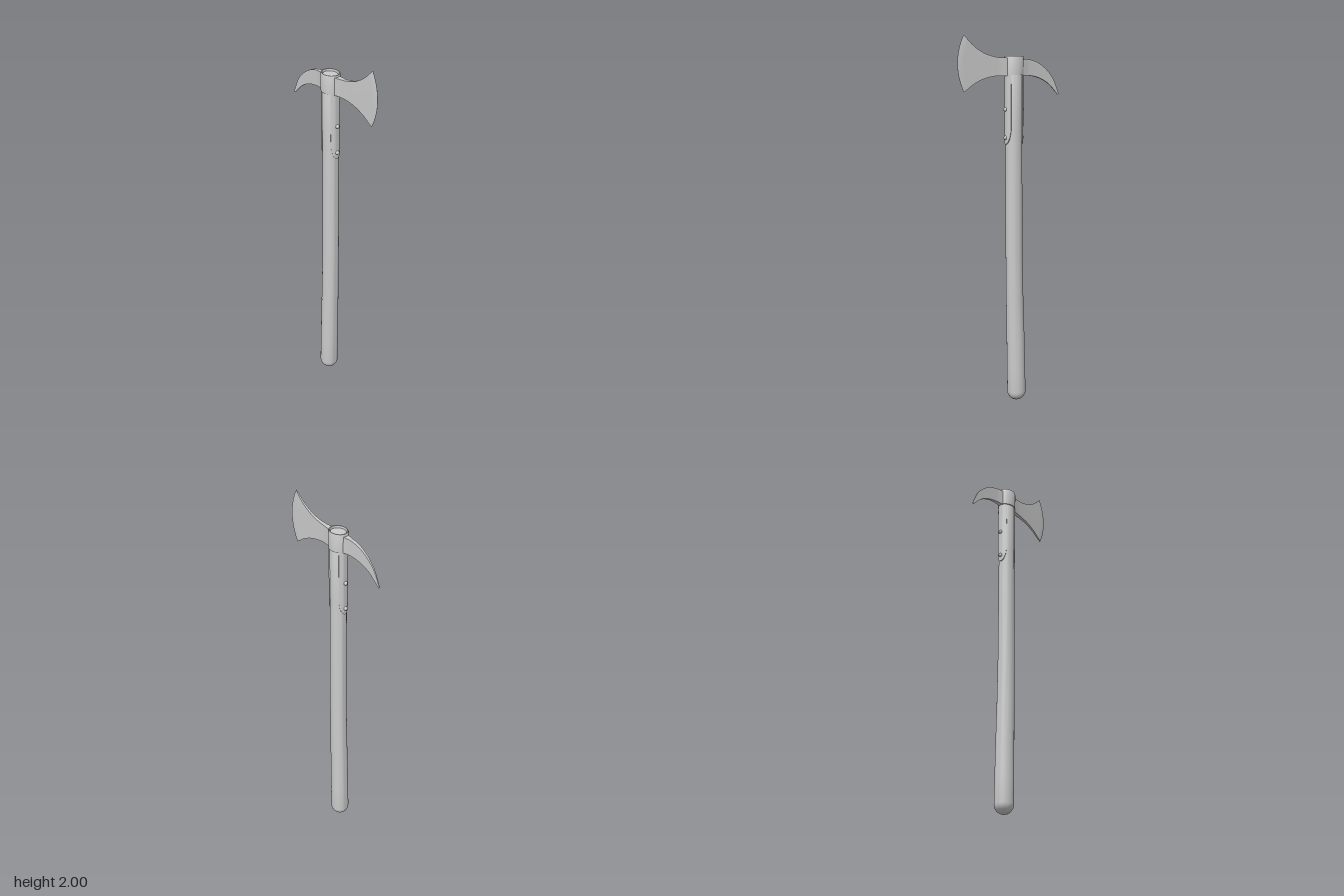
import * as THREE from 'three';
import { toCreasedNormals } from 'three/addons/utils/BufferGeometryUtils.js';

const material = new THREE.MeshStandardMaterial({ color: 0xcccccc });
const AXIS = -0.028; // x of the straight upper shaft

// Skin a list of equal-length rings (counter-clockwise seen from the far end).
function loft(name, rings, { caps = true, crease = 0.6 } = {}) {
  const n = rings[0].length;
  const pos = rings.flat().flatMap((p) => [p.x, p.y, p.z]);
  const idx = [];
  for (let i = 0; i < rings.length - 1; i++) {
    for (let j = 0; j < n; j++) {
      const a = i * n + j, b = i * n + (j + 1) % n;
      idx.push(a, b, b + n, a, b + n, a + n);
    }
  }
  if (caps) {
    // strip caps pair opposite points, so curved ends stay well covered
    const last = (rings.length - 1) * n;
    for (let j = 0; j < n / 2 - 1; j++) {
      const a = j, b = j + 1, c = n - 2 - j, d = n - 1 - j;
      idx.push(a, c, b, a, d, c);
      idx.push(last + a, last + b, last + c, last + a, last + c, last + d);
    }
  }
  const geo = new THREE.BufferGeometry();
  geo.setAttribute('position', new THREE.Float32BufferAttribute(pos, 3));
  geo.setIndex(idx);
  const mesh = new THREE.Mesh(toCreasedNormals(geo, crease), material);
  mesh.name = name;
  return mesh;
}

const ellipse = (cx, y, rx, rz, n = 32) => Array.from({ length: n }, (_, i) => {
  const a = (i / n) * Math.PI * 2;
  return new THREE.Vector3(cx + rx * Math.cos(a), y, -rz * Math.sin(a));
});

// Shaft: rounded butt, gentle bend in the lower half
function makeHandle() {
  const rings = [];
  for (let i = 0; i <= 7; i++) {
    const a = (i / 7) * Math.PI / 2;
    const r = Math.max(0.002, 0.051 * Math.sin(a));
    rings.push(ellipse(-0.046, 0.055 - 0.05 * Math.cos(a), r, r * 0.98));
  }
  const stations = [
    [0.2, -0.043, 0.0505, 0.049], [0.4, -0.039, 0.0495, 0.047], [0.6, -0.034, 0.048, 0.045],
    [0.85, -0.03, 0.047, 0.043], [1.2, -0.029, 0.046, 0.042], [1.5, AXIS, 0.046, 0.041],
    [1.875, AXIS, 0.046, 0.04], [1.885, AXIS, 0.042, 0.036],
  ];
  stations.forEach(([y, cx, rx, rz]) => rings.push(ellipse(cx, y, rx, rz)));
  return loft('handle', rings);
}

// Socket ring around the top of the shaft
function makeCollar() {
  const profile = [[1.795, 0.045, 0.039], [1.795, 0.054, 0.045], [1.889, 0.055, 0.046],
    [1.895, 0.053, 0.044], [1.895, 0.047, 0.041], [1.87, 0.045, 0.039]];
  return loft('collar', profile.map(([y, rx, rz]) => ellipse(AXIS, y, rx, rz)), { caps: false });
}

// Flat section between a lower and an upper point, bulging outwards in x
function plate(lo, hi, h, bulge = 0, n = 16) {
  const right = [], left = [];
  for (let i = 0; i <= n; i++) {
    const v = i / n;
    const x = lo.x + (hi.x - lo.x) * v + bulge * 4 * v * (1 - v);
    const y = lo.y + (hi.y - lo.y) * v;
    right.push(new THREE.Vector3(x, y, -h));
    left.unshift(new THREE.Vector3(x, y, h));
  }
  return [...right, ...left];
}

const curve = (points) => new THREE.CatmullRomCurve3(points.map(([x, y]) => new THREE.Vector3(x, y, 0)));

// Linear lookup in [position, value] pairs
function lookup(table, u) {
  const k = Math.max(1, table.findIndex(([t]) => t >= u));
  const [t0, v0] = table[k - 1], [t1, v1] = table[k];
  return THREE.MathUtils.lerp(v0, v1, (u - t0) / (t1 - t0));
}

// Sections between an upper and a lower outline, from root to end
function outlineRings(top, bottom, thickness, bulge) {
  const rings = [];
  for (let i = 0; i <= 25; i++) {
    const u = i / 25;
    rings.push(plate(bottom.getPoint(u), top.getPoint(u), lookup(thickness, u), bulge * u * u));
  }
  return rings;
}

// Flared cutting blade on +x
function makeBlade() {
  const top = curve([[0.018, 1.885], [0.09, 1.89], [0.16, 1.91], [0.22, 1.947], [0.275, 2.0]]);
  const bottom = curve([[0.018, 1.792], [0.09, 1.79], [0.16, 1.775], [0.22, 1.747], [0.275, 1.707]]);
  const thickness = [[0, 0.018], [0.16, 0.011], [0.32, 0.0085], [0.6, 0.006], [0.92, 0.004], [1, 0.0006]];
  return loft('blade', outlineRings(top, bottom, thickness, 0.037));
}

// Curved, drooping spike on -x
function makeSpike() {
  const top = curve([[-0.072, 1.882], [-0.14, 1.874], [-0.2, 1.849], [-0.27, 1.785], [-0.315, 1.695]]);
  const bottom = curve([[-0.072, 1.793], [-0.13, 1.792], [-0.185, 1.78], [-0.245, 1.75], [-0.309, 1.689]]);
  const thickness = [[0, 0.018], [0.16, 0.01], [0.32, 0.008], [0.6, 0.0055], [1, 0.0018]];
  return loft('spike', outlineRings(top, bottom, thickness, 0).reverse());
}

// Curved side strap with a rounded lower end, held by two rivets
function makeStrap(side) {
  const group = new THREE.Group();
  group.name = side > 0 ? 'leftStrap' : 'rightStrap';
  const base = side > 0 ? 0 : Math.PI;
  const n = 10;
  const rings = [[1.43, 0.12], [1.436, 0.32], [1.45, 0.52], [1.47, 0.68], [1.5, 0.78], [1.65, 0.8], [1.8, 0.82]]
    .map(([y, w]) => {
      const at = (a, rx, rz) => new THREE.Vector3(AXIS + rx * Math.cos(base + a), y, -rz * Math.sin(base + a));
      const outer = [], inner = [];
      for (let i = 0; i <= n; i++) {
        const a = w * (2 * i / n - 1);
        outer.push(at(a, 0.0525, 0.0445));
        inner.unshift(at(a, 0.044, 0.038));
      }
      return [...outer, ...inner];
    });
  group.add(loft('strapPlate', rings));
  for (const y of [1.465, 1.615]) {
    const rivet = new THREE.Mesh(new THREE.SphereGeometry(0.011, 14, 10), material);
    rivet.name = 'rivet';
    rivet.position.set(AXIS + side * 0.052, y, 0);
    group.add(rivet);
  }
  return group;
}

export function createModel() {
  const model = new THREE.Group();
  model.name = 'spikedAxe';
  model.add(makeHandle(), makeCollar(), makeBlade(), makeSpike(), makeStrap(1), makeStrap(-1));
  return model;
}
